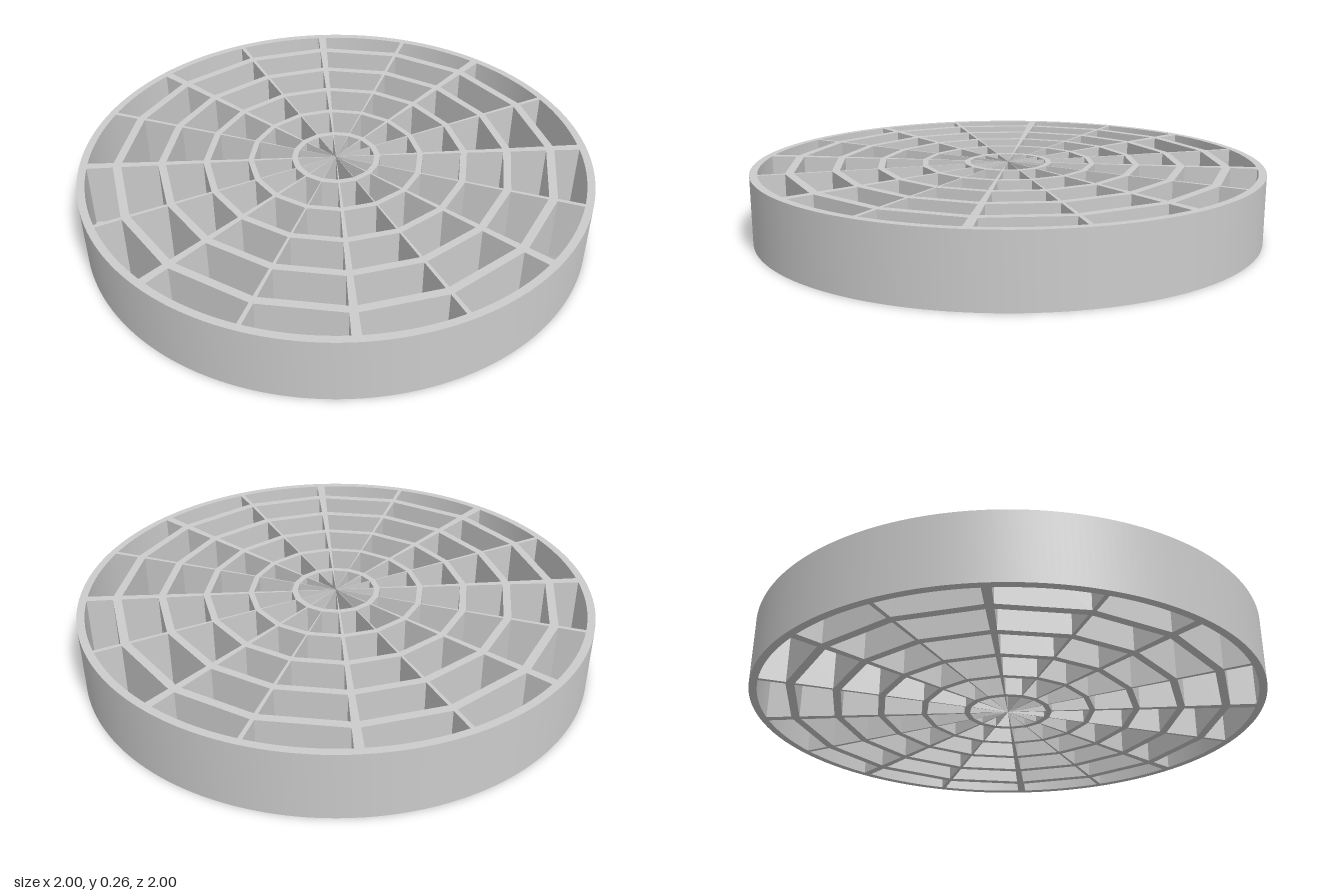
import * as THREE from 'three';
import { toCreasedNormals } from 'three/addons/utils/BufferGeometryUtils.js';

const HEIGHT = 0.265;
const RIM_INNER = 0.97;

// inner and outer corner radius of each web ring
const RINGS = [[0.151, 0.174], [0.322, 0.344], [0.493, 0.519], [0.664, 0.694], [0.836, 0.869]];

// start and end angle of each tapered spoke, in degrees
const SPOKES = [];
for (let q = 0; q < 4; q++) {
  const a = q * 90;
  SPOKES.push(q === 2 ? [a - 2, a] : [a, a + 2], [a + 22, a + 23], [a + 44, a + 46], [a + 67, a + 68]);
}

function polar(radius, degrees) {
  const t = THREE.MathUtils.degToRad(degrees);
  return new THREE.Vector2(radius * Math.cos(t), radius * Math.sin(t));
}

// polygon whose corners sit on both edges of every spoke
function webPolygon(radius) {
  return SPOKES.flat().map((a) => polar(radius, a));
}

// extrude a plan shape upwards from the ground
function upright(shape, curveSegments = 1) {
  const geometry = new THREE.ExtrudeGeometry(shape, { depth: HEIGHT, bevelEnabled: false, curveSegments });
  return geometry.rotateX(-Math.PI / 2);
}

export function createModel() {
  const material = new THREE.MeshStandardMaterial({ color: 0xcccccc });
  const model = new THREE.Group();
  model.name = 'webGrate';

  // round outer rim
  const rimShape = new THREE.Shape().absarc(0, 0, 1, 0, Math.PI * 2);
  rimShape.holes.push(new THREE.Path().absarc(0, 0, RIM_INNER, 0, Math.PI * 2, true));
  const rim = new THREE.Mesh(toCreasedNormals(upright(rimShape, 128), 0.5), material);
  rim.name = 'rim';
  model.add(rim);

  // faceted concentric rings
  RINGS.forEach(([inner, outer], i) => {
    const shape = new THREE.Shape(webPolygon(outer));
    shape.holes.push(new THREE.Path(webPolygon(inner).reverse()));
    const ring = new THREE.Mesh(upright(shape), material);
    ring.name = `webRing${i + 1}`;
    model.add(ring);
  });

  // tapered spokes, filling the gaps between rings
  const from = [0.002, ...RINGS.map((r) => r[1])];
  const to = [...RINGS.map((r) => r[0]), RIM_INNER + 0.002];
  SPOKES.forEach(([a, b], i) => {
    const spoke = new THREE.Group();
    spoke.name = `spoke${i + 1}`;
    from.forEach((r0, j) => {
      const shape = new THREE.Shape([polar(r0, a), polar(to[j], a), polar(to[j], b), polar(r0, b)]);
      const segment = new THREE.Mesh(upright(shape), material);
      segment.name = 'spokeSegment';
      spoke.add(segment);
    });
    model.add(spoke);
  });

  return model;
}
